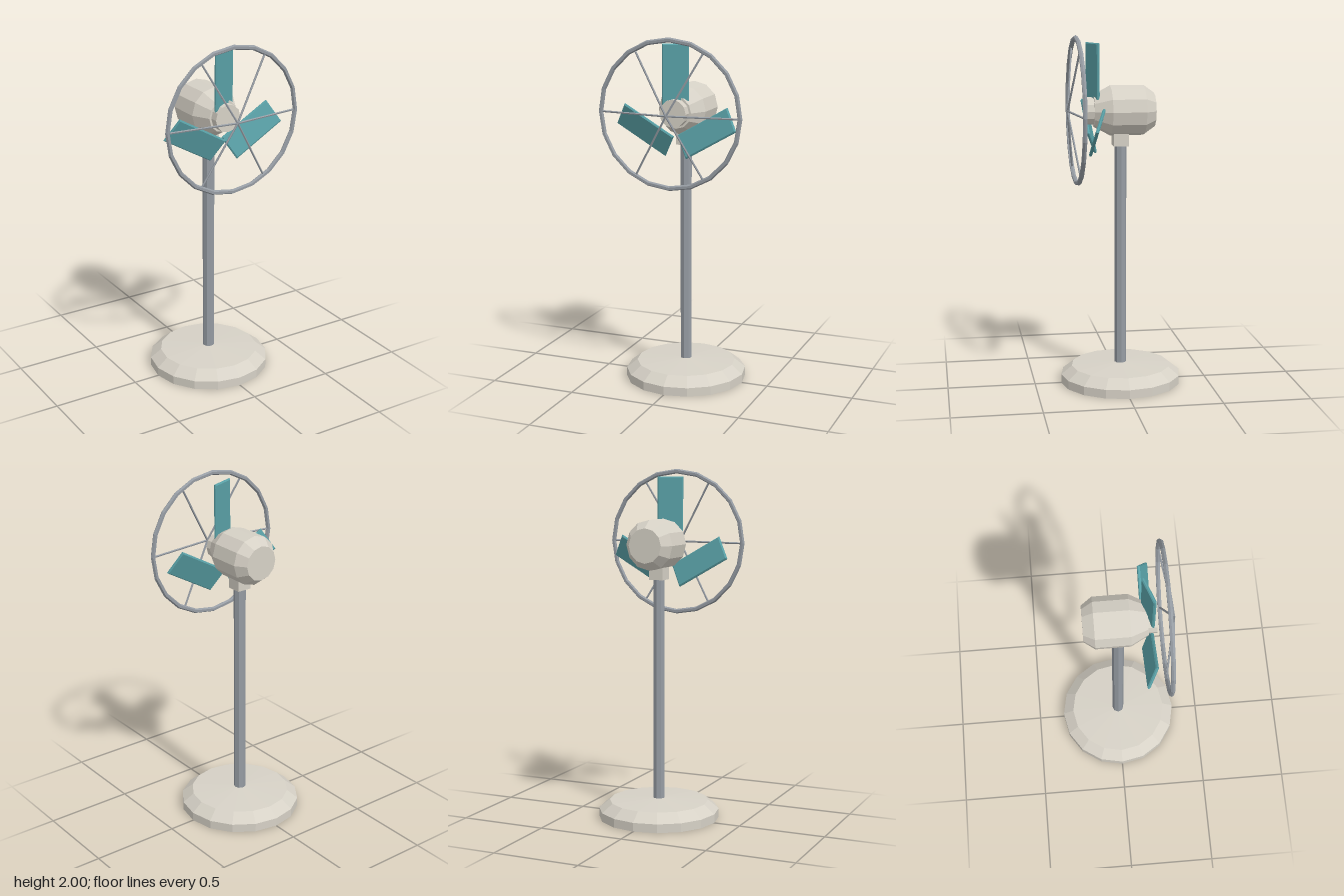
import * as THREE from 'three';

const HUB_Y = 1.58;

// One normal per face for the faceted look
function flat(geometry) {
  const g = geometry.index ? geometry.toNonIndexed() : geometry;
  g.computeVertexNormals();
  return g;
}

function lathe(profile, sides) {
  return new THREE.LatheGeometry(profile.map(([r, h]) => new THREE.Vector2(r, h)), sides);
}

export function createModel() {
  const model = new THREE.Group();
  model.name = 'pedestalFan';

  const paint = (name, color) => {
    const m = new THREE.MeshStandardMaterial({ color });
    m.name = name;
    return m;
  };
  const shell = paint('warmGreyShell', 0xd6d1c6);
  const metal = paint('steelGrey', 0x969ca3);
  const teal = paint('tealBlade', 0x59a0a6);

  const add = (name, geometry, material, parent = model) => {
    const mesh = new THREE.Mesh(flat(geometry), material);
    mesh.name = name;
    parent.add(mesh);
    return mesh;
  };

  // Stand: bevelled round foot, pole and neck block
  add('base', lathe([[0, 0], [0.347, 0], [0.347, 0.05], [0.285, 0.1], [0, 0.115]], 16), shell);
  add('pole', new THREE.CylinderGeometry(0.034, 0.034, 1.3, 8).translate(0, 0.75, 0), metal);
  add('neck', new THREE.BoxGeometry(0.086, 0.1, 0.086).translate(0, 1.43, 0), shell);

  // Head: everything that sits around the motor axis
  const head = new THREE.Group();
  head.name = 'head';
  head.position.y = HUB_Y;
  model.add(head);

  const motor = lathe([[0, -0.19], [0.098, -0.19], [0.141, -0.13], [0.141, 0.06], [0.09, 0.155], [0, 0.155]], 12);
  add('motorHousing', motor.rotateX(Math.PI / 2), shell, head);
  add('hub', new THREE.CylinderGeometry(0.078, 0.078, 0.08, 12).rotateX(Math.PI / 2).translate(0, 0, 0.163), shell, head);

  // Three pitched blades with chamfered edges
  const bevel = 0.006, w = 0.074 - bevel, h = 0.168 - bevel;
  const outline = new THREE.Shape([[-w, -h], [w, -h], [w, h], [-w, h]].map(([x, y]) => new THREE.Vector2(x, y)));
  const bladeGeometry = new THREE.ExtrudeGeometry(outline, {
    depth: 0.006, bevelThickness: bevel, bevelSize: bevel, bevelSegments: 1,
  }).translate(0, 0, -0.003);
  for (let i = 0; i < 3; i++) {
    const angle = (i * Math.PI * 2) / 3;
    const blade = add('blade' + (i + 1), bladeGeometry, teal, head);
    blade.position.set(Math.sin(angle) * 0.21, Math.cos(angle) * 0.21, 0.157);
    blade.rotation.order = 'ZYX';
    blade.rotation.set(0, 0.35, angle);
  }

  // Guard: outer hoop and six wires meeting at a forward point
  const guard = new THREE.Group();
  guard.name = 'guard';
  head.add(guard);
  add('guardRing', new THREE.TorusGeometry(0.407, 0.0135, 6, 20).translate(0, 0, 0.251), metal, guard);
  const tip = new THREE.Vector3(0, 0, 0.298);
  for (let i = 0; i < 6; i++) {
    const angle = (i * Math.PI) / 3;
    const end = new THREE.Vector3(Math.cos(angle) * 0.405, Math.sin(angle) * 0.405, 0.251);
    const wire = new THREE.TubeGeometry(new THREE.LineCurve3(tip, end), 1, 0.006, 5);
    add('guardWire' + (i + 1), wire, metal, guard);
  }

  return model;
}
